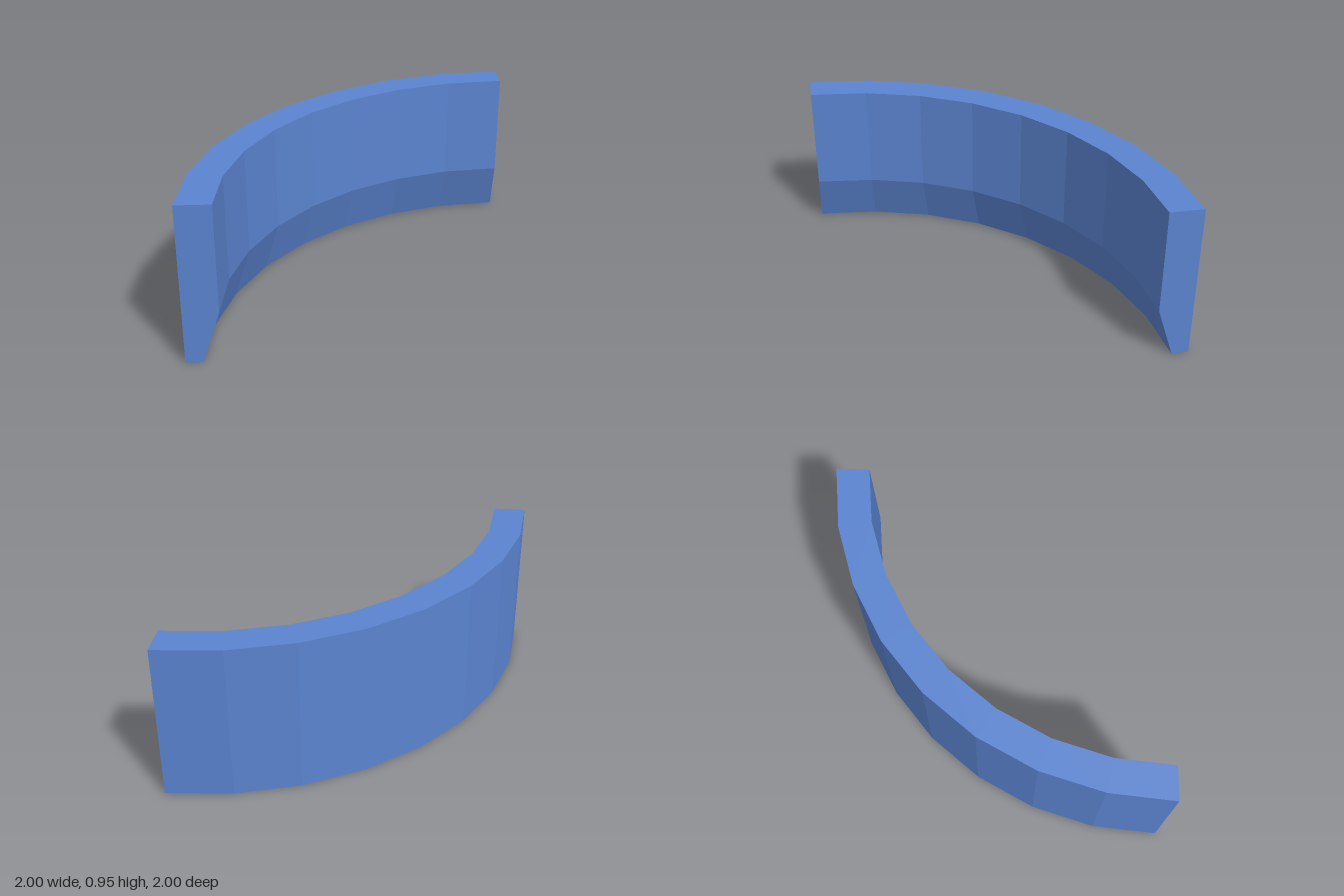
import * as THREE from 'three';

export function createModel() {
  const group = new THREE.Group();
  group.name = 'curvedWallSection';
  const material = new THREE.MeshStandardMaterial({ color: 0x5b84d0, flatShading: true });

  // Cross-section as (radius, height), counter-clockwise, with a chamfered inner foot
  const profile = [[2, 0], [2, 0.95], [1.8, 0.95], [1.8, 0.31], [1.9, 0]]
    .map(([r, y]) => new THREE.Vector2(r, y));

  const add = (name, geometry) => {
    const mesh = new THREE.Mesh(geometry, material);
    mesh.name = name;
    mesh.position.set(1, 0, 1); // centre of the arc
    group.add(mesh);
    return mesh;
  };

  // Quarter-circle wall in eight flat segments
  add('curvedWall', new THREE.LatheGeometry([...profile, profile[0]], 8, Math.PI, Math.PI / 2));

  // Flat ends closing the wall
  add('leftEnd', new THREE.ShapeGeometry(new THREE.Shape(profile))).rotation.y = Math.PI / 2;
  const mirrored = profile.map((p) => new THREE.Vector2(-p.x, p.y));
  add('rightEnd', new THREE.ShapeGeometry(new THREE.Shape(mirrored)));

  return group;
}
